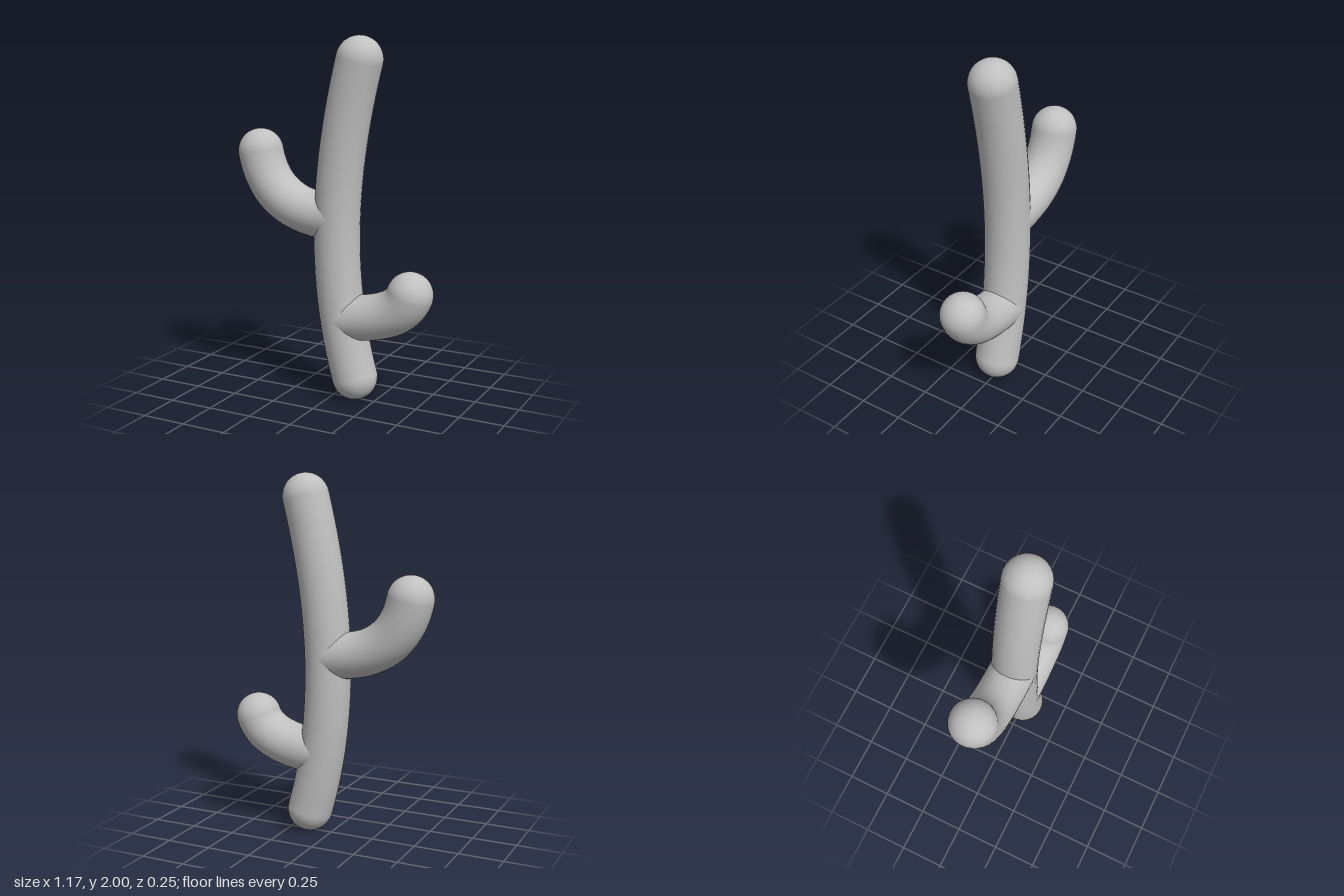
import * as THREE from 'three';

const RADIUS = 0.127;
const SIDES = 32;
const UP = new THREE.Vector3(0, 1, 0);

const v = (x, y) => new THREE.Vector3(x, y, 0);

export function createModel() {
  const group = new THREE.Group();
  const grey = new THREE.MeshStandardMaterial({ color: 0xc0c0c0 });
  grey.name = 'plain grey';

  const add = (name, geometry) => {
    const mesh = new THREE.Mesh(geometry, grey);
    mesh.name = name;
    group.add(mesh);
    return mesh;
  };

  // Round tube along a curve
  const limb = (name, curve, segments) =>
    add(name, new THREE.TubeGeometry(curve, segments, RADIUS, SIDES));

  // Hemisphere closing a tube end, facing outward
  const cap = (name, position, direction) => {
    const mesh = add(name, new THREE.SphereGeometry(RADIUS, SIDES, 12, 0, Math.PI * 2, 0, Math.PI / 2));
    mesh.position.copy(position);
    mesh.quaternion.setFromUnitVectors(UP, direction);
  };

  // Gently bowed trunk, rounded at both ends
  const trunk = new THREE.CubicBezierCurve3(v(0.13, 0.13), v(-0.04, 0.71), v(0, 1.29), v(0.15, 1.873));
  limb('trunk', trunk, 24);
  cap('trunkTop', trunk.getPoint(1), trunk.getTangent(1));
  cap('trunkBottom', trunk.getPoint(0), trunk.getTangent(0).negate());

  // Side arms start inside the trunk and curl upward
  const arms = {
    upperRightArm: [v(0.018, 1.02), v(-0.39, 1.015), v(-0.458, 1.355)],
    lowerLeftArm: [v(0.055, 0.465), v(0.4, 0.48), v(0.455, 0.637)],
  };
  for (const [name, points] of Object.entries(arms)) {
    const curve = new THREE.QuadraticBezierCurve3(...points);
    limb(name, curve, 24);
    cap(name + 'Tip', curve.getPoint(1), curve.getTangent(1));
  }

  return group;
}
